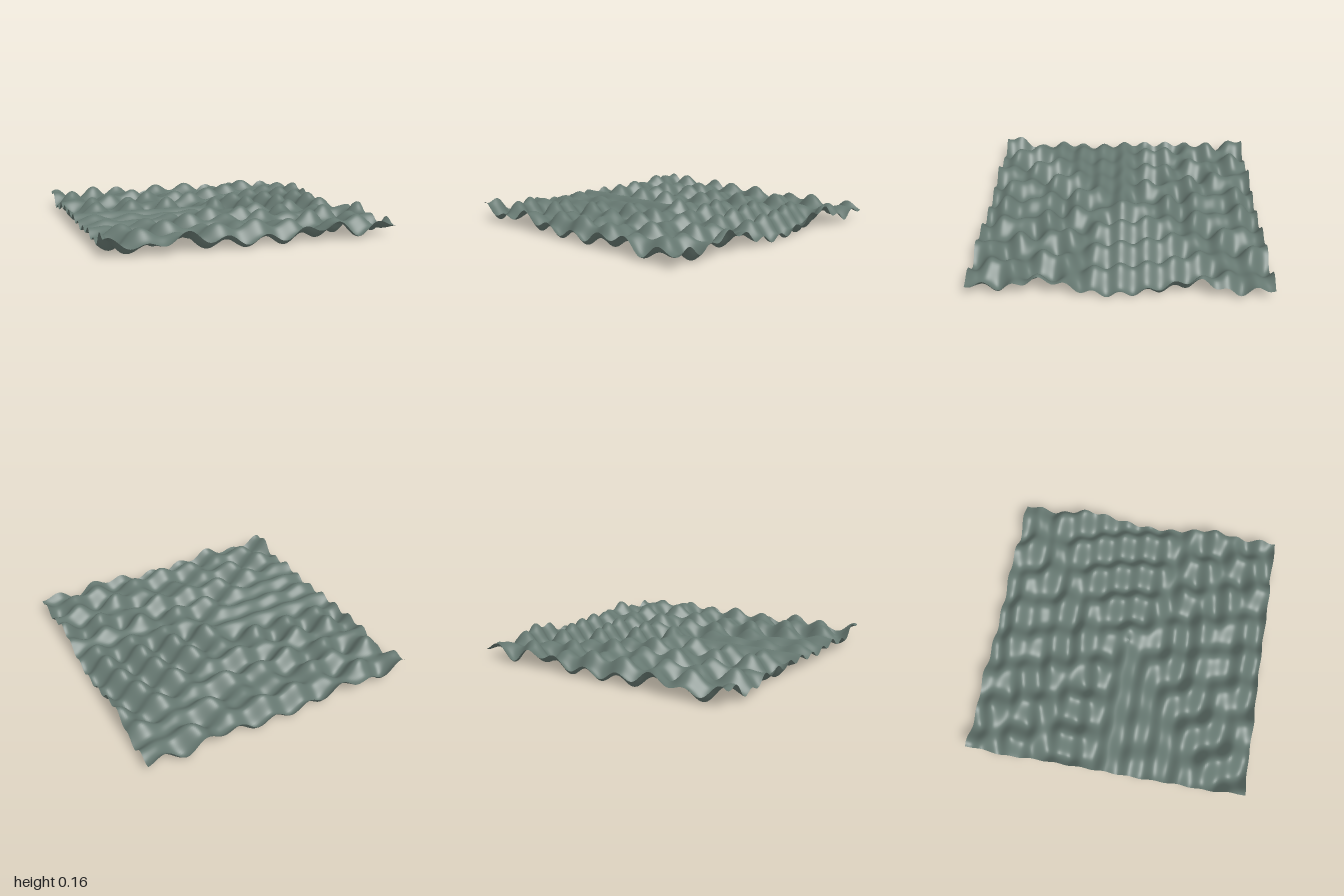
import * as THREE from 'three';

// Height of the rippled sheet: a slanted swell, a cross swell and round ripples from the centre
function waveHeight(x, z) {
  const slantedSwell = 0.03 * Math.sin(24 * x - 6 * z);
  const crossSwell = 0.022 * Math.cos(36 * z);
  const roundRipple = 0.03 * Math.sin(24 * Math.hypot(x, z));
  return slantedSwell + crossSwell + roundRipple;
}

export function createModel() {
  const group = new THREE.Group();
  group.name = 'rippledSurface';

  const material = new THREE.MeshStandardMaterial({ color: 0x667871, side: THREE.DoubleSide });
  material.name = 'greyGreen';

  // Flat square sheet, lifted vertex by vertex
  const geometry = new THREE.PlaneGeometry(2, 2, 200, 200);
  geometry.rotateX(-Math.PI / 2);
  const position = geometry.attributes.position;
  for (let i = 0; i < position.count; i++) {
    position.setY(i, waveHeight(position.getX(i), position.getZ(i)));
  }
  geometry.computeVertexNormals();

  // Rest the lowest trough on the ground
  geometry.computeBoundingBox();
  geometry.translate(0, -geometry.boundingBox.min.y, 0);

  const sheet = new THREE.Mesh(geometry, material);
  sheet.name = 'waterSheet';
  group.add(sheet);
  return group;
}
